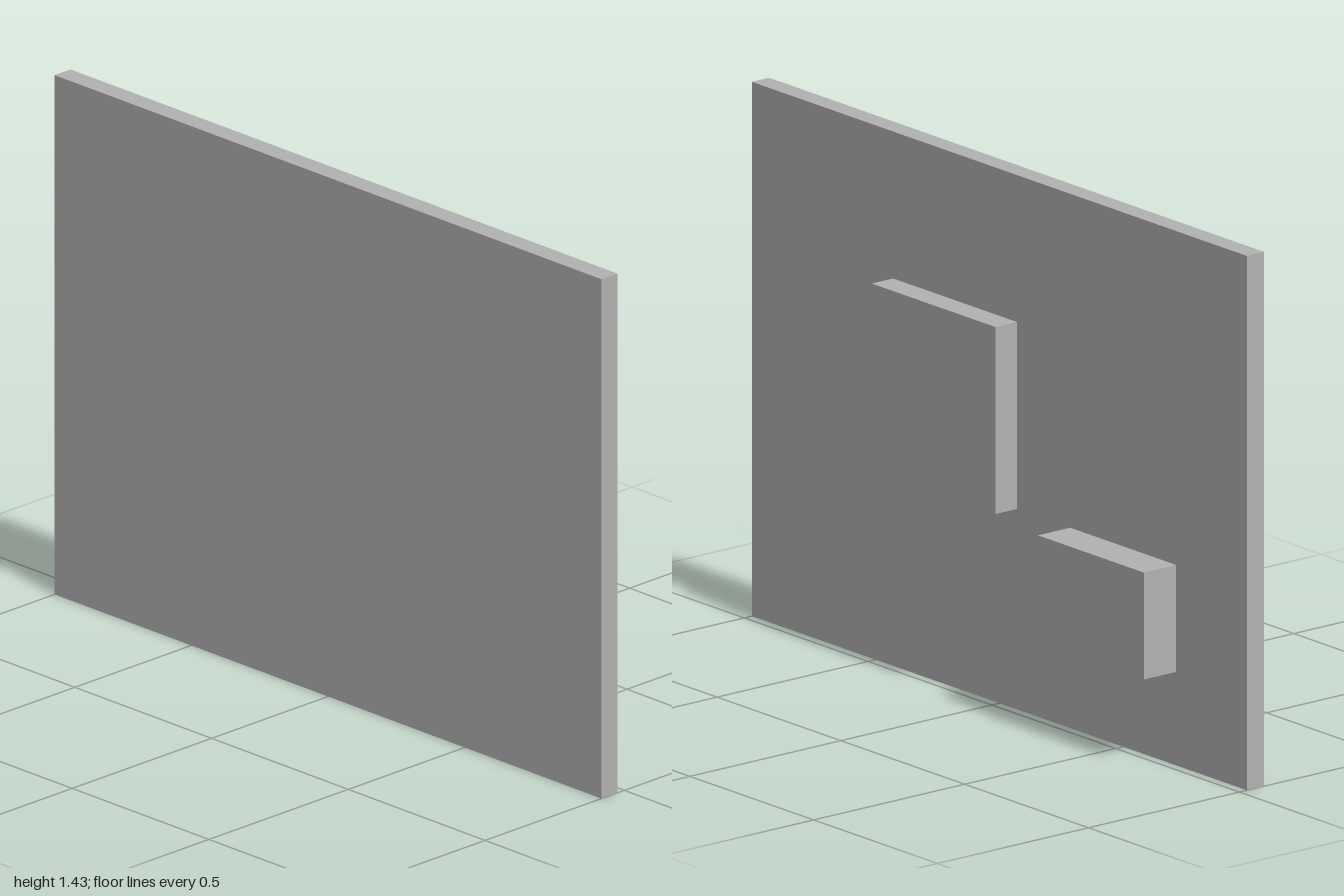
import * as THREE from 'three';

export function createModel() {
  const group = new THREE.Group();
  const grey = new THREE.MeshStandardMaterial({ color: 0xb2b2b2 });
  grey.name = 'grey';

  // Box given by its lower and upper corners
  const block = (name, [x0, y0, z0], [x1, y1, z1]) => {
    const mesh = new THREE.Mesh(new THREE.BoxGeometry(x1 - x0, y1 - y0, z1 - z0), grey);
    mesh.position.set((x0 + x1) / 2, (y0 + y1) / 2, (z0 + z1) / 2);
    mesh.name = name;
    group.add(mesh);
  };

  const face = -0.025; // side of the panel that carries the blocks
  block('panel', [-0.082, 0, -1], [face, 1.429, 1]);
  block('squareBlock', [face, 0.536, -0.071], [0.046, 1.036, 0.429]);
  block('lowBlock', [face, 0.25, -0.714], [0.082, 0.536, -0.286]);

  return group;
}
